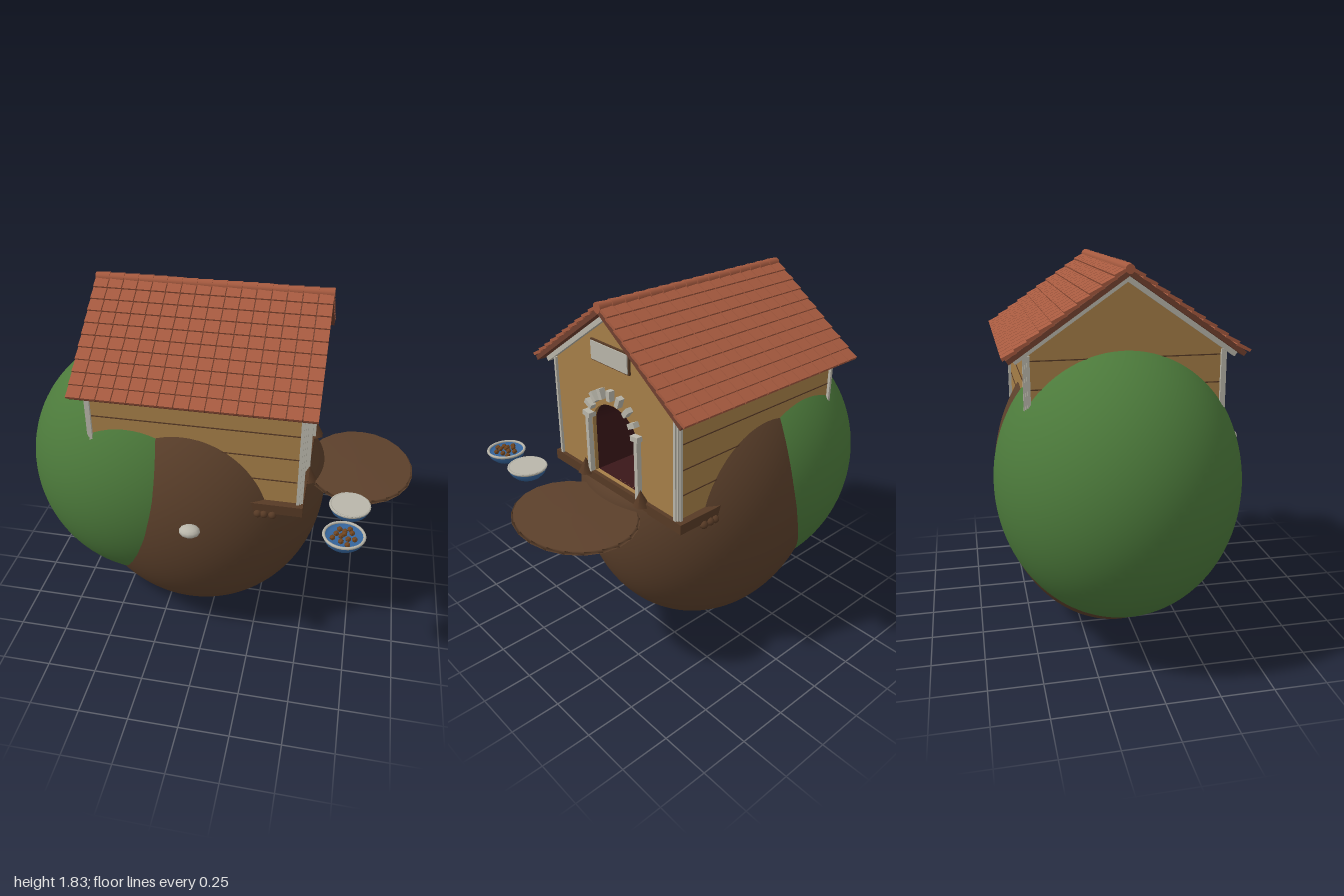
import * as THREE from 'three';
import { mergeGeometries } from 'three/addons/utils/BufferGeometryUtils.js';

const mat = (name, color, side = THREE.FrontSide) => {
  const m = new THREE.MeshStandardMaterial({ color, side });
  m.name = name;
  return m;
};

export function createModel() {
  const M = {
    grass: mat('grass green', 0x4c7a3b),
    soil: mat('soil brown', 0x5c402b),
    wall: mat('tan wood', 0xa67f48),
    tile: mat('terracotta', 0xa65a3f),
    under: mat('dark terracotta', 0x71402f),
    trim: mat('stone white', 0xb9b6aa),
    dark: mat('dark interior', 0x3a1719, THREE.DoubleSide),
    seam: mat('dark wood', 0x573a25),
    blue: mat('bowl blue', 0x35659c, THREE.DoubleSide),
    food: mat('kibble brown', 0x70451f),
  };
  const root = new THREE.Group();
  const CZ = -0.075; // centre line of the house

  const add = (name, geo, material, x = 0, y = 0, z = 0, parent = root) => {
    const mesh = new THREE.Mesh(geo, material);
    mesh.name = name;
    mesh.position.set(x, y, z);
    parent.add(mesh);
    return mesh;
  };
  const box = (w, h, d) => new THREE.BoxGeometry(w, h, d);

  // Two merged egg-shaped hills, levelled where the house stands
  const hill = (name, material, [cx, cy, cz], [rx, ry, rz]) => {
    const geo = new THREE.SphereGeometry(1, 80, 60);
    geo.scale(rx, ry, rz).translate(cx, cy, cz);
    const p = geo.attributes.position;
    for (let i = 0; i < p.count; i++) {
      const inside = p.getX(i) > -0.42 && Math.abs(p.getZ(i) - CZ) < 0.3;
      if (p.getY(i) > 0.9 && (inside || p.getX(i) > 0.33)) p.setY(i, 0.9);
    }
    add(name, geo, material);
  };
  hill('soilHill', M.soil, [-0.1, 0.755, CZ], [0.66, 0.75, 0.575]);
  hill('grassHill', M.grass, [-0.37, 0.83, -0.085], [0.63, 0.66, 0.58]);

  // Gable walls, the front one with an arched doorway
  const HALF = 0.165, SILL = 0.944, SPRING = 1.21;
  const doorPoints = (ry) => {
    const pts = [[-HALF, SILL], [HALF, SILL]];
    for (let i = 0; i <= 16; i++) {
      const a = (i / 16) * Math.PI;
      pts.push([HALF * Math.cos(a), SPRING - (0.13 - ry) * 0.5 + ry * Math.sin(a)]);
    }
    pts.push(pts[0]);
    return pts.map(([x, y]) => new THREE.Vector2(x, y));
  };
  const gable = (name, x, hasDoor) => {
    const shape = new THREE.Shape([[-0.437, 0.92], [0.437, 0.92], [0.437, 1.47], [0, 1.775], [-0.437, 1.47]]
      .map(([a, b]) => new THREE.Vector2(a, b)));
    if (hasDoor) shape.holes.push(new THREE.Path(doorPoints(0.13)));
    const geo = new THREE.ExtrudeGeometry(shape, { depth: 0.03, bevelEnabled: false });
    add(name, geo.rotateY(Math.PI / 2), M.wall, x, 0, CZ);
  };
  gable('frontGable', 0.43, true);
  gable('backGable', -0.54, false);

  // Side walls with plank seams and corner posts
  for (const s of [1, -1]) {
    add('sideWall', box(0.98, 0.55, 0.03), M.wall, -0.04, 1.195, CZ + s * 0.422);
    for (const y of [1.06, 1.185, 1.31])
      add('plankSeam', box(0.98, 0.005, 0.004), M.seam, -0.04, y, CZ + s * 0.438);
    for (const x of [-0.542, 0.462])
      for (const [dx, dz] of [[0, 0], [-0.008, 0.008], [0.008, -0.008]])
        add('cornerPost', box(0.014, 0.52, 0.014), M.trim, x + dx, 1.2, CZ + s * (0.438 + dz * Math.sign(x)));
  }
  for (const y of [1.06, 1.185, 1.31, 1.435])
    add('backSeam', box(0.004, 0.005, 0.86), M.seam, -0.541, y, CZ);

  // Dark passage behind the doorway, its vault lowering toward the back
  const near = doorPoints(0.13), far = doorPoints(0.07);
  const tunnel = new THREE.PlaneGeometry(1, 1, near.length - 1, 1);
  const tp = tunnel.attributes.position;
  for (let i = 0; i < tp.count; i++) {
    const back = i >= near.length;
    const q = (back ? far : near)[i % near.length];
    tp.setXYZ(i, back ? -0.3 : 0.44, q.y, -q.x);
  }
  tunnel.computeVertexNormals();
  add('passage', tunnel, M.dark, 0, 0, CZ);
  add('passageEnd', new THREE.ShapeGeometry(new THREE.Shape(far)).rotateY(Math.PI / 2), M.wall, -0.299, 0, CZ);

  // Door posts, arch stones and the plaque above
  for (const s of [1, -1]) add('doorPost', box(0.04, 0.32, 0.022), M.trim, 0.465, 1.1, CZ + s * 0.18);
  for (let i = 0; i < 9; i++) {
    const a = THREE.MathUtils.degToRad(6 + i * 21);
    const stone = add('archStone', box(0.04, 0.05, 0.025), M.trim, 0.47,
      1.235 + 0.165 * Math.sin(a), CZ + 0.178 * Math.cos(a));
    stone.rotation.x = Math.PI / 2 - a;
  }
  add('plaqueFrame', box(0.012, 0.1, 0.27), M.seam, 0.465, 1.585, CZ);
  add('plaque', box(0.02, 0.088, 0.258), M.trim, 0.466, 1.585, CZ);

  // Roof: two slopes of overlapping tiles on a slab
  const tiles = [];
  const COLS = 16, ROWS = 10, W = 1.125 / COLS;
  for (let r = 0; r < ROWS; r++)
    for (let c = 0; c < COLS; c++)
      tiles.push(box(W - 0.005, 0.014, 0.07).rotateX(-0.13)
        .translate((c + 0.5) * W - 0.5625, 0.008, 0.035 + r * 0.0645));
  const tileGeo = mergeGeometries(tiles);
  for (const s of [0, 1]) {
    const side = new THREE.Group();
    side.name = 'roofSide';
    side.position.set(-0.0375, 1.815, CZ);
    side.rotation.y = s * Math.PI;
    root.add(side);
    const slope = new THREE.Group();
    slope.name = 'roofSlope';
    slope.rotation.x = Math.atan2(0.37, 0.535);
    side.add(slope);
    add('roofTiles', tileGeo, M.tile, 0, 0, 0, slope);
    add('roofSlab', box(1.115, 0.022, 0.64), M.under, 0, -0.012, 0.32, slope);
    for (const e of [-1, 1]) add('gableTrim', box(0.03, 0.024, 0.61), M.trim, e * 0.503, -0.034, 0.315, slope);
  }
  for (let c = 0; c < COLS; c++)
    add('ridgeTile', new THREE.CylinderGeometry(0.021, 0.025, W, 10).rotateZ(Math.PI / 2),
      M.tile, -0.6 + (c + 0.5) * W, 1.815, CZ);

  // Floor deck, with pegs beside the door and roots beneath
  add('floorDeck', box(0.9, 0.05, 0.95), M.seam, 0.03, 0.917, CZ);
  for (const s of [1, -1]) {
    add('doorPeg', new THREE.ConeGeometry(0.04, 0.08, 6), M.seam, 0.485, 0.965, CZ + s * 0.21);
    for (const x of [0.27, 0.3, 0.34])
      add('root', new THREE.IcosahedronGeometry(0.02, 1), M.seam, x, 0.885, CZ + s * 0.475);
  }

  // Round dirt patch before the door
  const patch = new THREE.LatheGeometry([[0, -0.018], [0.7, -0.014], [1, 0], [0.96, 0.012], [0, 0.015]]
    .map(([x, y]) => new THREE.Vector2(x, y)), 22);
  add('dirtPatch', patch.scale(0.275, 1, 0.33), M.soil, 0.722, 0.88, -0.098);

  // Bowls with rims, one full and one holding kibble
  const bowl = (x, z, full) => {
    const g = new THREE.Group();
    g.name = full ? 'fullBowl' : 'foodBowl';
    g.position.set(x, 0.9, z);
    root.add(g);
    const profile = [[0, 0], [0.065, 0], [0.085, 0.02], [0.096, 0.05], [0.088, 0.05], [0.078, 0.034], [0, 0.034]];
    add('bowlBody', new THREE.LatheGeometry(profile.map(([a, b]) => new THREE.Vector2(a, b)), 24), M.blue, 0, 0, 0, g);
    add('bowlRim', new THREE.TorusGeometry(0.091, 0.007, 6, 24).rotateX(Math.PI / 2), M.trim, 0, 0.048, 0, g);
    if (full) add('bowlContents', new THREE.CylinderGeometry(0.096, 0.09, 0.008, 24), M.trim, 0, 0.049, 0, g);
    else for (let i = 0; i < 12; i++) {
      const a = i * 2.4, r = 0.018 * Math.sqrt(i);
      add('kibble', new THREE.IcosahedronGeometry(0.014, 0), M.food,
        r * Math.cos(a), 0.055 - r * 0.2, r * Math.sin(a), g);
    }
  };
  bowl(0.68, 0.56, false);
  bowl(0.695, 0.337, true);

  // Pale pebble beside the hill
  add('pebble', new THREE.SphereGeometry(1, 12, 8).scale(0.05, 0.027, 0.042), M.trim, -0.015, 0.893, 0.6);
  return root;
}
